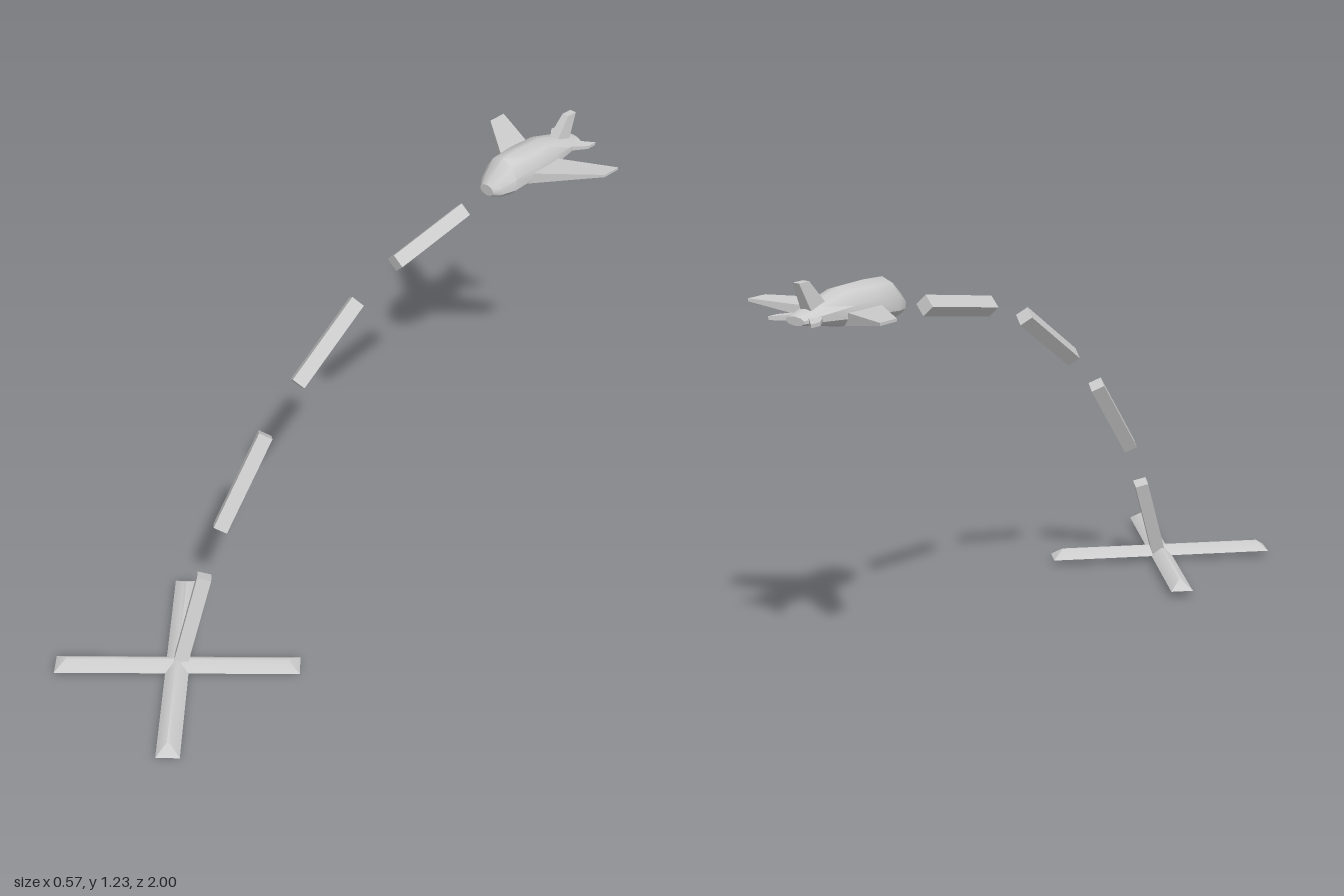
import * as THREE from 'three';
import { toCreasedNormals } from 'three/addons/utils/BufferGeometryUtils.js';

const material = new THREE.MeshStandardMaterial({ color: 0xcccccc });

// Skin a list of equal-length point rings, cap both ends, and face it outward.
function loft(rings, crease) {
  const tris = [];
  const n = rings[0].length;
  for (let i = 0; i < rings.length - 1; i++) {
    for (let j = 0; j < n; j++) {
      const k = (j + 1) % n;
      const [a, b, c, d] = [rings[i][j], rings[i][k], rings[i + 1][k], rings[i + 1][j]];
      tris.push([a, b, c], [a, c, d]);
    }
  }
  const last = rings[rings.length - 1];
  for (let j = 1; j < n - 1; j++) {
    tris.push([rings[0][0], rings[0][j + 1], rings[0][j]], [last[0], last[j], last[j + 1]]);
  }
  const solid = tris.map((t) => t.map((p) => new THREE.Vector3(...p)));
  const o = solid[0][0].clone();
  let volume = 0;
  for (const [a, b, c] of solid) {
    volume += a.clone().sub(o).dot(b.clone().sub(o).cross(c.clone().sub(o)));
  }
  const points = solid.flatMap(([a, b, c]) => (volume < 0 ? [a, c, b] : [a, b, c]));
  const geometry = new THREE.BufferGeometry().setFromPoints(points);
  return toCreasedNormals(geometry, crease);
}

function add(group, name, geometry) {
  const mesh = new THREE.Mesh(geometry, material);
  mesh.name = name;
  group.add(mesh);
  return mesh;
}

// Square bar turned on its edge, running between two (z, y) points.
function addDash(group, name, [z0, y0], [z1, y1]) {
  const a = new THREE.Vector3(0, y0, z0);
  const b = new THREE.Vector3(0, y1, z1);
  const geometry = new THREE.BoxGeometry(0.0424, a.distanceTo(b), 0.0424);
  geometry.rotateY(Math.PI / 4);
  const mesh = add(group, name, geometry);
  mesh.position.copy(a).lerp(b, 0.5);
  mesh.quaternion.setFromUnitVectors(new THREE.Vector3(0, 1, 0), b.sub(a).normalize());
}

// Ten-sided body section with its widest line at height mid.
function bodyRing([z, halfWidth, bottom, mid, top]) {
  return Array.from({ length: 10 }, (_, i) => {
    const t = (i / 10) * Math.PI * 2;
    const c = Math.cos(t);
    return [Math.sin(t) * halfWidth, mid + c * (c > 0 ? top - mid : mid - bottom), z];
  });
}

// Chord section of a wing at distance x: front and rear z, bottom and top y.
const wingRing = (side, x, front, rear, bottom, top) => [
  [side * x, bottom, front], [side * x, top, front],
  [side * x, top, rear], [side * x, bottom, rear],
];

// Fin section at height y.
const finRing = (y, w, front, rear) => [
  [-w, y, front], [w, y, front], [w, y, rear], [-w, y, rear],
];

export function createModel() {
  const model = new THREE.Group();
  model.name = 'flightPathModel';

  // Crossed ground marker: two low bars with sloped sides and ends
  const cross = new THREE.Group();
  cross.name = 'groundCross';
  cross.position.set(0, 0.024, 0.717);
  const bar = (y, w, l) => [[-w, y, -l], [w, y, -l], [w, y, l], [-w, y, l]];
  for (const turn of [1, -1]) {
    const mesh = add(cross, 'crossBar', loft([bar(0, 0.035, 0.366), bar(0.028, 0.003, 0.332)], 0.9));
    mesh.rotation.y = (turn * Math.PI) / 4;
  }
  model.add(cross);

  // Dashed arc climbing to the aircraft
  const trail = new THREE.Group();
  trail.name = 'dashedTrail';
  const dashes = [
    [[0.712, 0.014], [0.594, 0.304]],
    [[0.525, 0.447], [0.337, 0.692]],
    [[0.208, 0.807], [-0.032, 0.979]],
    [[-0.19, 1.038], [-0.478, 1.091]],
  ];
  dashes.forEach(([a, b], i) => addDash(trail, `dash${i + 1}`, a, b));
  model.add(trail);

  // Aircraft
  const plane = new THREE.Group();
  plane.name = 'aircraft';
  const body = [
    [-0.583, 0.026, 1.102, 1.118, 1.137],
    [-0.605, 0.045, 1.09, 1.121, 1.158],
    [-0.648, 0.063, 1.083, 1.13, 1.201],
    [-0.72, 0.066, 1.086, 1.138, 1.205],
    [-0.82, 0.063, 1.096, 1.14, 1.203],
    [-0.91, 0.05, 1.115, 1.141, 1.175],
    [-0.98, 0.034, 1.128, 1.14, 1.152],
  ];
  add(plane, 'fuselage', loft(body.map(bodyRing), 0.7));
  add(plane, 'tailFin', loft([finRing(1.15, 0.02, -0.865, -0.935), finRing(1.237, 0.011, -0.935, -0.972)], 0.5));
  for (const side of [1, -1]) {
    const label = side > 0 ? 'left' : 'right';
    add(plane, `${label}Wing`, loft([
      wingRing(side, 0.035, -0.7, -0.835, 1.105, 1.143),
      wingRing(side, 0.232, -0.854, -0.917, 1.149, 1.157),
    ], 0.5));
    add(plane, `${label}Tailplane`, loft([
      wingRing(side, 0.01, -0.88, -0.945, 1.132, 1.15),
      wingRing(side, 0.075, -0.966, -1.0, 1.136, 1.146),
    ], 0.5));
  }
  model.add(plane);

  return model;
}
